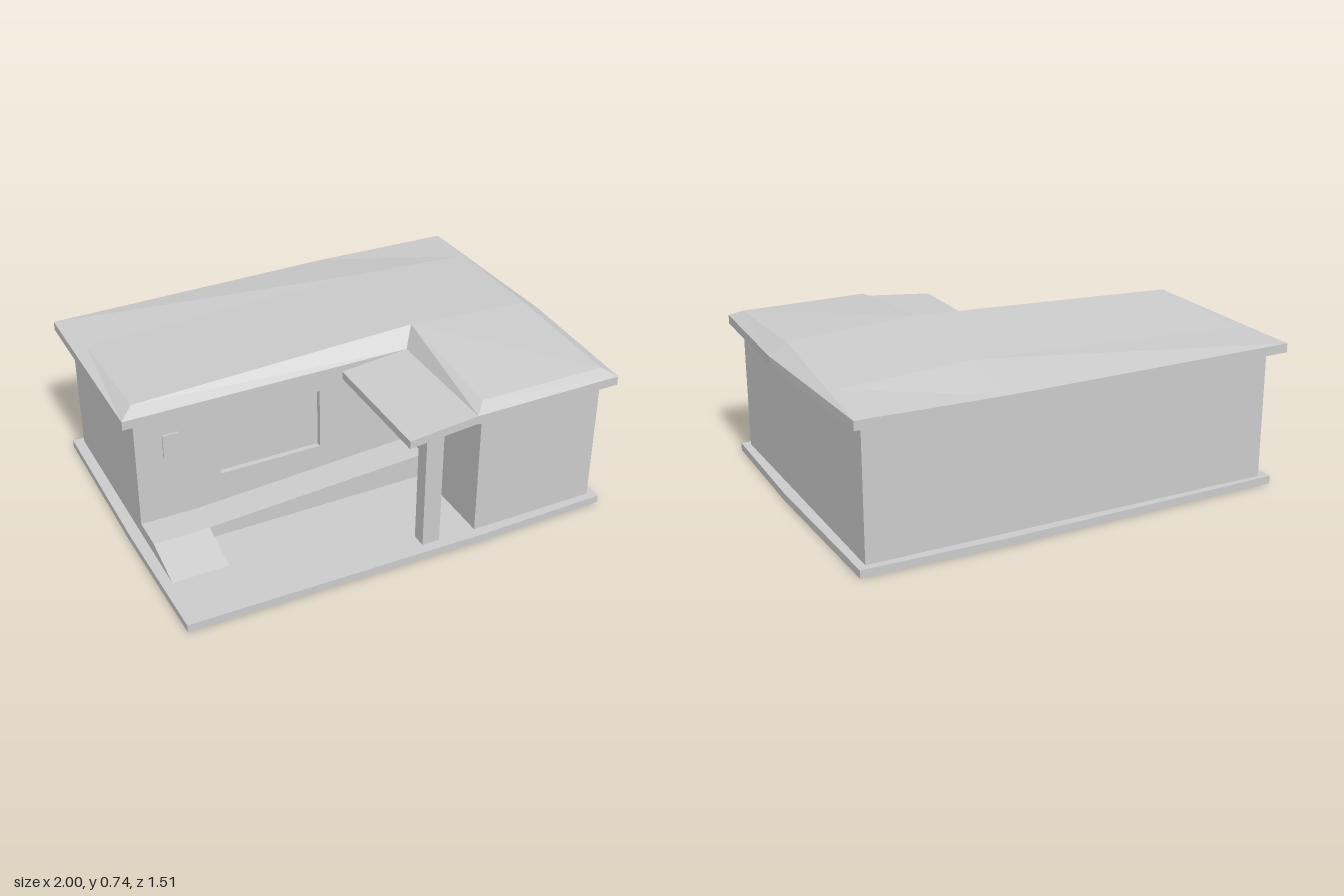
import * as THREE from 'three';

const material = new THREE.MeshStandardMaterial({ color: 0xcccccc, flatShading: true });

export function createModel() {
  const model = new THREE.Group();
  model.name = 'house';

  const add = (name, geometry) => {
    const mesh = new THREE.Mesh(geometry, material);
    mesh.name = name;
    model.add(mesh);
    return mesh;
  };
  const shapeOf = (pts) => new THREE.Shape(pts.map(([x, y]) => new THREE.Vector2(x, y)));
  const extrude = (shape, depth) => new THREE.ExtrudeGeometry(shape, { depth, bevelEnabled: false });

  // floor plan of [x, z] points raised from y0 to y1
  const plan = (pts, y0, y1) =>
    extrude(shapeOf(pts.map(([x, z]) => [x, -z])), y1 - y0).rotateX(-Math.PI / 2).translate(0, y0, 0);
  // front profile of [x, y] points running from z0 to z1
  const profile = (pts, z0, z1) => extrude(shapeOf(pts), z1 - z0).translate(0, 0, z0);
  const box = (x0, x1, y0, y1, z0, z1) =>
    new THREE.BoxGeometry(x1 - x0, y1 - y0, z1 - z0).translate((x0 + x1) / 2, (y0 + y1) / 2, (z0 + z1) / 2);

  // ground slab, with slightly bowed sides
  add('groundSlab', plan([
    [-0.98, 0.73], [0.34, 0.75], [0.955, 0.74], [0.97, 0.1],
    [0.955, -0.71], [0.34, -0.725], [-0.985, -0.705], [-0.99, 0.1],
  ], 0, 0.035));

  // L-shaped walls; the long front is set back to form the window pane
  add('walls', plan([
    [-0.94, 0.085], [0.34, 0.085], [0.34, 0.705], [0.92, 0.705], [0.92, -0.68], [-0.94, -0.68],
  ], 0.035, 0.62));

  // front wall skin with the window opening
  const skin = shapeOf([[-0.94, 0.035], [0.34, 0.035], [0.34, 0.62], [-0.94, 0.62]]);
  skin.holes.push(shapeOf([[-0.57, 0.235], [-0.57, 0.52], [-0.1, 0.52], [-0.1, 0.235]]));
  add('windowWall', extrude(skin, 0.025).translate(0, 0, 0.085));

  // plain wall plaque
  add('wallPlaque', box(-0.82, -0.75, 0.39, 0.505, 0.11, 0.118));

  // raised walkway along the front and the ramp leading up to it
  add('walkway', profile([
    [-0.94, 0.035], [0.34, 0.035], [0.34, 0.15], [-0.69, 0.09], [-0.94, 0.09],
  ], 0.11, 0.26));
  add('ramp', extrude(shapeOf([[0.26, 0.035], [0.465, 0.035], [0.26, 0.09]]), 0.25)
    .rotateY(-Math.PI / 2).translate(-0.69, 0, 0));

  // sloping entrance canopy on its post
  add('canopy', profile([[-0.02, 0.59], [0.29, 0.618], [0.29, 0.655], [-0.02, 0.625]], 0.165, 0.755));
  add('canopyPost', box(0.09, 0.17, 0.035, 0.612, 0.635, 0.7));

  // roof: eave outline [x, z] and matching crease points [x, y, z]
  const eaves = [
    [-1, 0.165], [-1, -0.74], [0.34, -0.76], [0.97, -0.74],
    [1, 0.11], [0.97, 0.755], [0.29, 0.755], [0.29, 0.165],
  ];
  const creases = [
    [-0.94, 0.687, 0.11], [-0.94, 0.66, -0.46], [0.34, 0.708, -0.46], [0.92, 0.677, -0.46],
    [0.92, 0.705, 0.11], [0.92, 0.682, 0.7], [0.34, 0.685, 0.7], [0.34, 0.737, 0.11],
  ];
  add('roofSlab', plan(eaves, 0.615, 0.655));

  const positions = [];
  const quad = (a, b, c, d) => positions.push(...a, ...b, ...c, ...a, ...c, ...d);
  const eave = (i) => [eaves[i][0], 0.655, eaves[i][1]];
  for (let i = 0; i < 8; i++) {
    const j = (i + 1) % 8;
    quad(eave(i), creases[i], creases[j], eave(j));
  }
  const [a, b, c, d, e, f, g, h] = creases;
  quad(a, h, c, b);
  quad(h, e, d, c);
  quad(h, g, f, e);
  const roof = new THREE.BufferGeometry();
  roof.setAttribute('position', new THREE.Float32BufferAttribute(positions, 3));
  roof.computeVertexNormals();
  add('roofTop', roof);

  return model;
}
